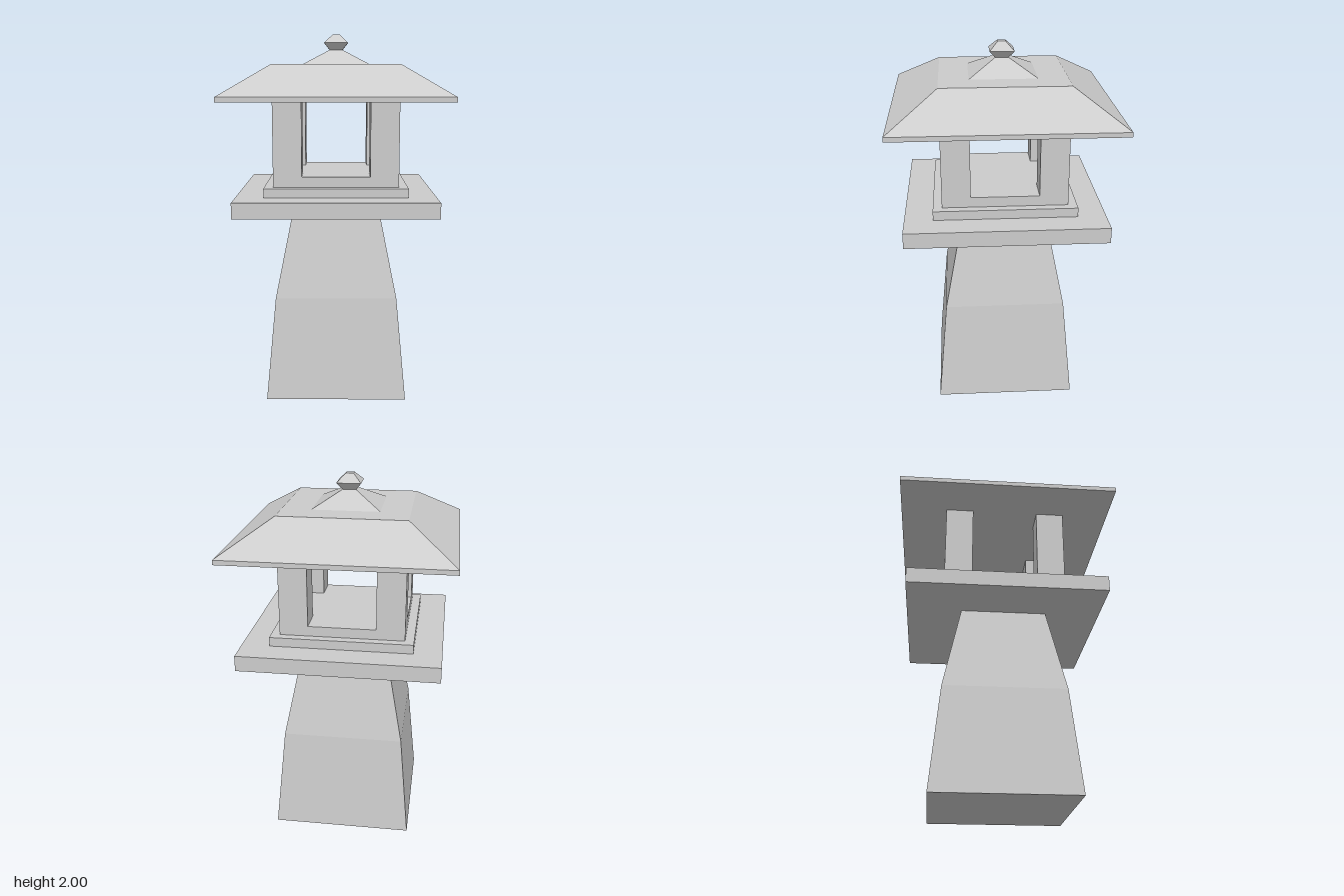
import * as THREE from 'three';

const material = new THREE.MeshStandardMaterial({ color: 0xcccccc, flatShading: true });

// Square solid from a bottom-to-top list of [half width, height], closed at both ends
function squareSolid(name, profile) {
  const closed = [[0, profile[0][1]], ...profile, [0, profile[profile.length - 1][1]]];
  const points = closed.map(([half, y]) => new THREE.Vector2(half * Math.SQRT2, y));
  const geometry = new THREE.LatheGeometry(points, 4, Math.PI / 4).toNonIndexed();
  geometry.computeVertexNormals();
  const mesh = new THREE.Mesh(geometry, material);
  mesh.name = name;
  return mesh;
}

// Square slab between two heights
function slab(name, half, y0, y1) {
  const mesh = new THREE.Mesh(new THREE.BoxGeometry(half * 2, y1 - y0, half * 2), material);
  mesh.position.y = (y0 + y1) / 2;
  mesh.name = name;
  return mesh;
}

export function createModel() {
  const lantern = new THREE.Group();
  lantern.name = 'stoneLantern';

  // Tapered pedestal with a bend part way up
  lantern.add(squareSolid('pedestal', [[0.385, 0], [0.332, 0.57], [0.235, 1.055]]));

  // Platform, step and floor of the fire box
  lantern.add(
    slab('platform', 0.537, 1.055, 1.14),
    slab('step', 0.385, 1.14, 1.19),
    slab('fireBoxFloor', 0.337, 1.19, 1.245),
  );

  // Four corner posts framing the openings
  const posts = new THREE.Group();
  posts.name = 'cornerPosts';
  const outer = 0.337, inner = 0.183, bottom = 1.245, top = 1.655;
  for (const sx of [-1, 1]) {
    for (const sz of [-1, 1]) {
      const post = new THREE.Mesh(
        new THREE.BoxGeometry(outer - inner, top - bottom, outer - inner), material);
      post.position.set(sx * (outer + inner) / 2, (bottom + top) / 2, sz * (outer + inner) / 2);
      post.name = 'cornerPost';
      posts.add(post);
    }
  }
  lantern.add(posts);

  // Hipped roof with a thin eave and flat top
  lantern.add(squareSolid('roof', [[0.596, 1.652], [0.596, 1.677], [0.338, 1.838]]));

  // Small cap and finial
  lantern.add(
    squareSolid('roofCap', [[0.18, 1.838], [0.036, 1.917]]),
    squareSolid('finial', [[0.036, 1.917], [0.066, 1.955], [0.021, 2.0]]),
  );
  return lantern;
}
